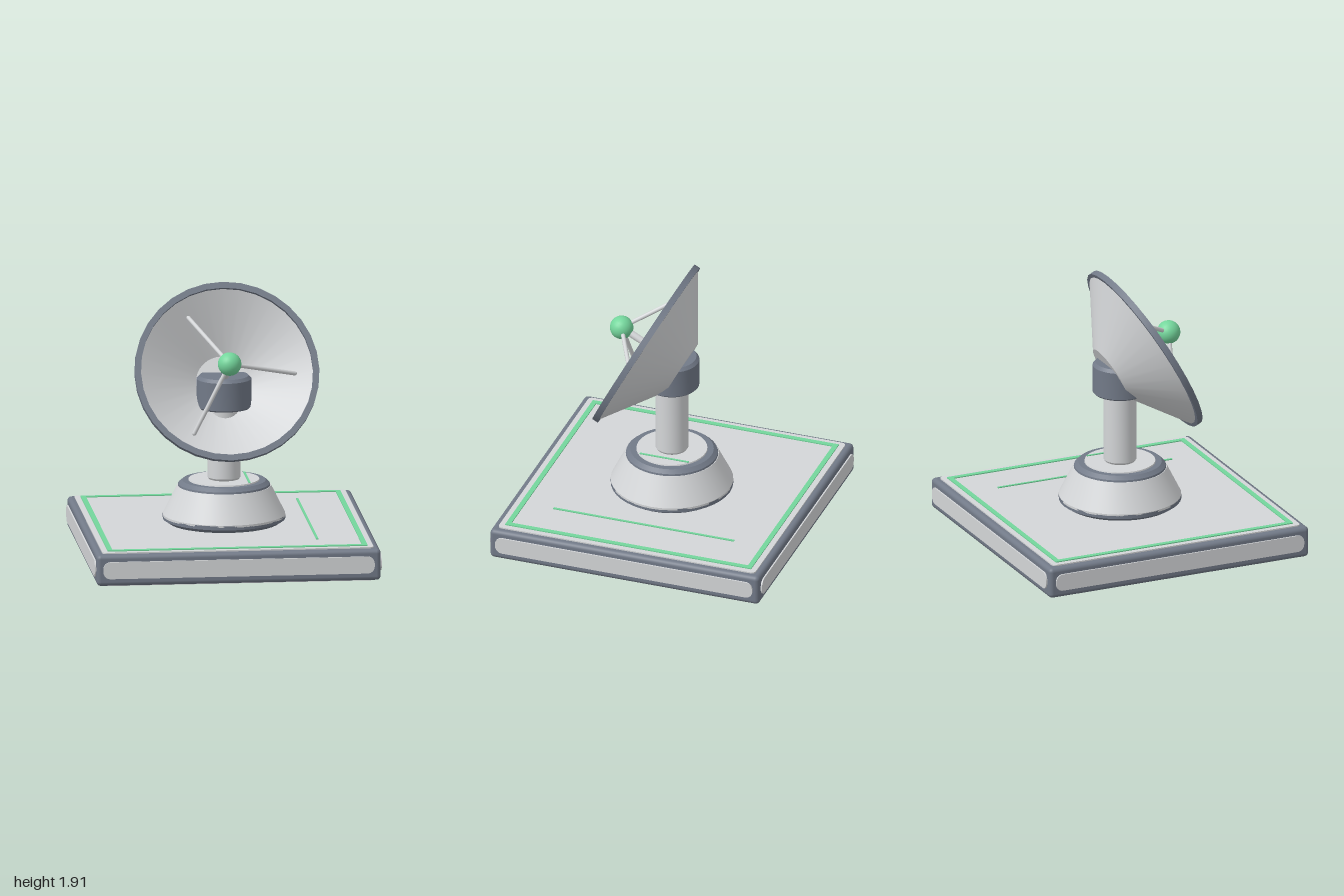
import * as THREE from 'three';
import { toCreasedNormals } from 'three/addons/utils/BufferGeometryUtils.js';
import { RoundedBoxGeometry } from 'three/addons/geometries/RoundedBoxGeometry.js';

const mat = (name, color) => {
  const m = new THREE.MeshStandardMaterial({ color });
  m.name = name;
  return m;
};

export function createModel() {
  const model = new THREE.Group();
  model.name = 'dishAntenna';
  const light = mat('light grey', 0xd4d6d8);
  const dark = mat('slate grey', 0x727a88);
  const green = mat('signal green', 0x74d69c);

  const add = (name, geometry, material, pos = [0, 0, 0], parent = model) => {
    const mesh = new THREE.Mesh(geometry, material);
    mesh.name = name;
    mesh.position.set(...pos);
    parent.add(mesh);
    return mesh;
  };
  // Turned part with sharp edges; profile is [radius, height] from bottom to top
  const turned = (profile, segments = 40) => toCreasedNormals(
    new THREE.LatheGeometry(profile.map(([r, y]) => new THREE.Vector2(r, y)), segments), 0.45);
  // Round rod between two points
  const rod = (name, a, b, radius, material, parent) => {
    const from = new THREE.Vector3(...a), dir = new THREE.Vector3(...b).sub(from);
    const mesh = add(name, new THREE.CapsuleGeometry(radius, dir.length(), 4, 12), material,
      from.clone().addScaledVector(dir, 0.5).toArray(), parent);
    mesh.quaternion.setFromUnitVectors(new THREE.Vector3(0, 1, 0), dir.normalize());
  };
  // Rounded rectangle outline
  const roundRect = (w, h, r) => {
    const s = new THREE.Shape(), x = w / 2, y = h / 2;
    s.absarc(x - r, y - r, r, 0, Math.PI / 2);
    s.absarc(r - x, y - r, r, Math.PI / 2, Math.PI);
    s.absarc(r - x, r - y, r, Math.PI, Math.PI * 1.5);
    s.absarc(x - r, r - y, r, Math.PI * 1.5, Math.PI * 2);
    s.closePath();
    return s;
  };
  const extrude = (shape, depth) =>
    new THREE.ExtrudeGeometry(shape, { depth, bevelEnabled: false, curveSegments: 6 });

  // Base slab with plates on top, underneath and on its four sides
  add('baseSlab', new RoundedBoxGeometry(1.98, 0.22, 1.98, 3, 0.03), dark, [0, 0.117, 0]);
  const plate = extrude(roundRect(1.89, 1.89, 0.03), 0.015).rotateX(-Math.PI / 2);
  add('topPlate', plate, light, [0, 0.221, 0]);
  add('bottomPlate', plate, light, [0, 0, 0]);
  const panel = extrude(roundRect(1.89, 0.12, 0.05), 0.012);
  for (let i = 0; i < 4; i++) {
    const a = i * Math.PI / 2;
    add('sidePanel', panel, light, [Math.sin(a) * 0.988, 0.12, Math.cos(a) * 0.988]).rotation.y = a;
  }

  // Green border and guide lines
  const border = roundRect(1.81, 1.81, 0.002);
  border.holes.push(roundRect(1.74, 1.74, 0.002));
  add('greenBorder', extrude(border, 0.008).rotateX(-Math.PI / 2), green, [0, 0.235, 0]);
  add('baseLine', new THREE.BoxGeometry(0.016, 0.008, 1.33), green, [0.58, 0.239, 0]);

  // Conical pedestal
  add('pedestalFoot', turned([[0, 0.235], [0.385, 0.235], [0.405, 0.25], [0.425, 0.262],
    [0.425, 0.29], [0, 0.29]]), dark);
  add('pedestalCone', turned([[0, 0.28], [0.425, 0.28], [0.425, 0.295], [0.325, 0.495], [0, 0.495]]), light);
  add('pedestalRing', turned([[0, 0.49], [0.322, 0.49], [0.318, 0.508], [0.29, 0.532], [0, 0.532]]), dark);
  add('pedestalCap', turned([[0, 0.53], [0.248, 0.53], [0.245, 0.541], [0, 0.541]]), light);
  add('capLine', new THREE.BoxGeometry(0.014, 0.008, 0.36), green, [0.16, 0.543, 0]);

  // Mast and swivel head
  add('mast', turned([[0, 0.54], [0.105, 0.54], [0.115, 0.555], [0.115, 1.06], [0, 1.06]]), light);
  add('swivelHead', turned([[0, 1.045], [0.18, 1.045], [0.19, 1.055], [0.19, 1.25],
    [0.17, 1.272], [0, 1.272]]), dark);

  // Tilted dish; its axis is the group's y, and the rim lies at y = 0
  const dish = new THREE.Group();
  dish.name = 'dish';
  dish.position.set(0, 1.335, 0.19);
  dish.rotation.x = 1.086;
  model.add(dish);
  add('dishShell', turned([[0, -0.3], [0.2, -0.3], [0.63, -0.012], [0.605, -0.006],
    [0.19, -0.28], [0, -0.28]], 32), light, [0, 0, 0], dish);
  add('dishRim', turned([[0.6, -0.022], [0.643, -0.022], [0.643, 0.022], [0.6, 0.022],
    [0.6, -0.022]], 32), dark, [0, 0, 0], dish);

  // Receiver ball on its stem and three struts
  const tip = [0, 0.204, 0];
  add('receiver', new THREE.SphereGeometry(0.082, 24, 16), green, tip, dish);
  rod('receiverStem', [0, -0.28, 0], tip, 0.025, light, dish);
  for (let i = 0; i < 3; i++) {
    const a = i * Math.PI * 2 / 3;
    rod('strut', [Math.cos(a) * 0.48, -0.075, Math.sin(a) * 0.48], tip, 0.015, light, dish);
  }
  return model;
}
